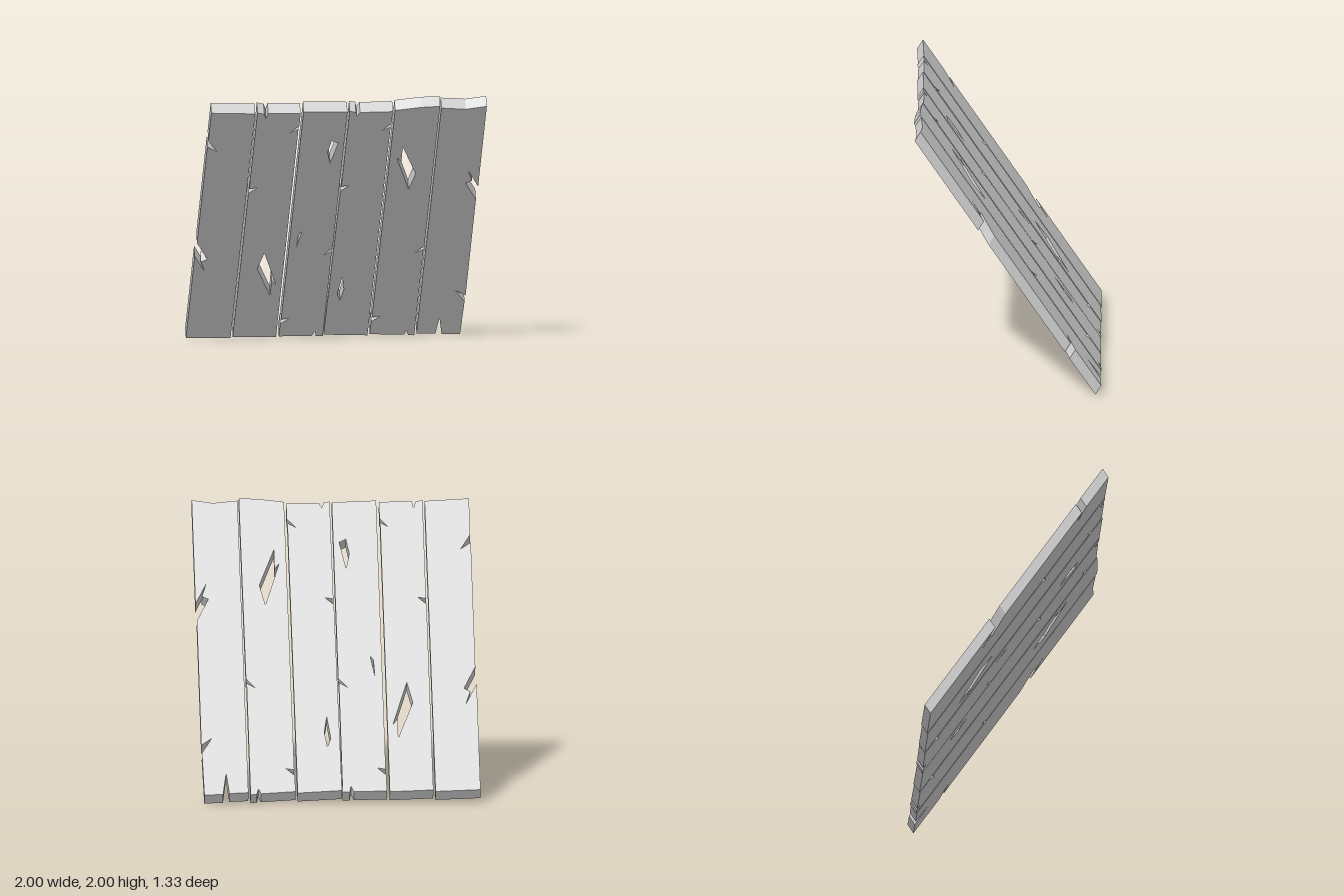
import * as THREE from 'three';

// Point reflection through the panel centre (repeats keep their winding)
const turn = (pts) => pts.map(([x, y]) => [-x, 1.97 - y]);

// Small splintered chips on the plank sides
const chipLeft = (x, y) => [[x + 0.003, y + 0.037], [x + 0.062, y + 0.045], [x, y]];
const chipRight = (x, y) => [[x - 0.004, y - 0.027], [x - 0.065, y - 0.06], [x, y]];

// Bigger breaks along the outer edge, listed downwards
const outerBreaks = [
  [-0.973, 1.69], [-0.9, 1.595], [-0.976, 1.64],
  [-0.985, 0.83], [-0.9, 0.69], [-0.945, 0.67], [-0.91, 0.585], [-0.992, 0.72],
];

// Holes broken through the boards
const bigHole = [[0.39, 1.51], [0.495, 1.24], [0.535, 1.37], [0.425, 1.6], [0.425, 1.475]];
const knotHole = [[-0.085, 1.475], [-0.04, 1.645], [-0.088, 1.665], [-0.11, 1.57]];
const smallHole = [[0.08, 0.51], [0.055, 0.37], [0.08, 0.315], [0.1, 0.41]];
const sliver = [[-0.27, 0.77], [-0.24, 0.905], [-0.262, 0.88]];

// Each plank: bottom edge left to right, right side upwards,
// top edge right to left, left side downwards
const planks = [
  {
    bottom: [[-1, 0.03], [-0.68, 0.02]],
    top: [[-0.655, 1.91], [-0.97, 1.925]],
    left: outerBreaks,
  },
  {
    bottom: [[-0.665, 0.03], [-0.355, 0.02]],
    right: chipRight(-0.331, 1.8),
    top: [[-0.33, 1.905], [-0.563, 1.91], [-0.575, 1.865], [-0.59, 1.905], [-0.64, 1.918]],
    left: chipLeft(-0.65, 1.24),
    holes: [turn(bigHole)],
  },
  {
    bottom: [[-0.335, 0.025], [-0.1, 0.022], [-0.08, 0.06], [-0.07, 0.018], [-0.02, 0.02]],
    right: chipRight(-0.009, 0.76),
    top: [[0.005, 1.905], [-0.31, 1.915]],
    left: chipLeft(-0.333, 0.13),
    holes: [knotHole, sliver],
  },
  {
    bottom: [[-0.015, 0.03], [0.3, 0.015]],
    right: chipRight(0.328, 1.8),
    top: [[0.33, 1.9], [0.095, 1.9], [0.075, 1.865], [0.065, 1.905], [0.02, 1.91]],
    left: chipLeft(0.008, 1.24),
    holes: [smallHole],
  },
  {
    bottom: [[0.315, 0.025], [0.56, 0.012], [0.578, 0.045], [0.59, 0.01], [0.635, 0.005]],
    right: chipRight(0.647, 0.76),
    top: [[0.665, 1.935], [0.53, 1.93], [0.345, 1.91]],
    left: chipLeft(0.317, 0.13),
    holes: [bigHole],
  },
  {
    bottom: [[0.65, 0.02], [0.785, 0.015], [0.805, 0.145], [0.83, 0.01], [0.963, 0.005]],
    right: turn(outerBreaks),
    top: [[1, 1.925], [0.85, 1.905], [0.675, 1.92]],
  },
];

// Leans the flat panel forward; the board thickness runs up and back
const lean = new THREE.Matrix4().set(
  1, 0, 0, 0,
  0, 1, -0.067, 0.067,
  0, 0.6686, 0.042, -0.669,
  0, 0, 0, 1,
);

const vectors = (pts) => pts.map(([x, y]) => new THREE.Vector2(x, y));

function makePlank({ bottom, right = [], top, left = [], holes = [] }, material) {
  const shape = new THREE.Shape(vectors([...bottom, ...right, ...top, ...left]));
  shape.holes = holes.map((hole) => new THREE.Path(vectors(hole)));
  const geometry = new THREE.ExtrudeGeometry(shape, { depth: 1, bevelEnabled: false });
  geometry.applyMatrix4(lean);
  return new THREE.Mesh(geometry, material);
}

export function createModel() {
  const group = new THREE.Group();
  group.name = 'leaningPlankPanel';
  const material = new THREE.MeshStandardMaterial({ color: 0xcccccc, flatShading: true });
  planks.forEach((plank, i) => {
    const mesh = makePlank(plank, material);
    mesh.name = `plank${i + 1}`;
    group.add(mesh);
  });
  return group;
}
